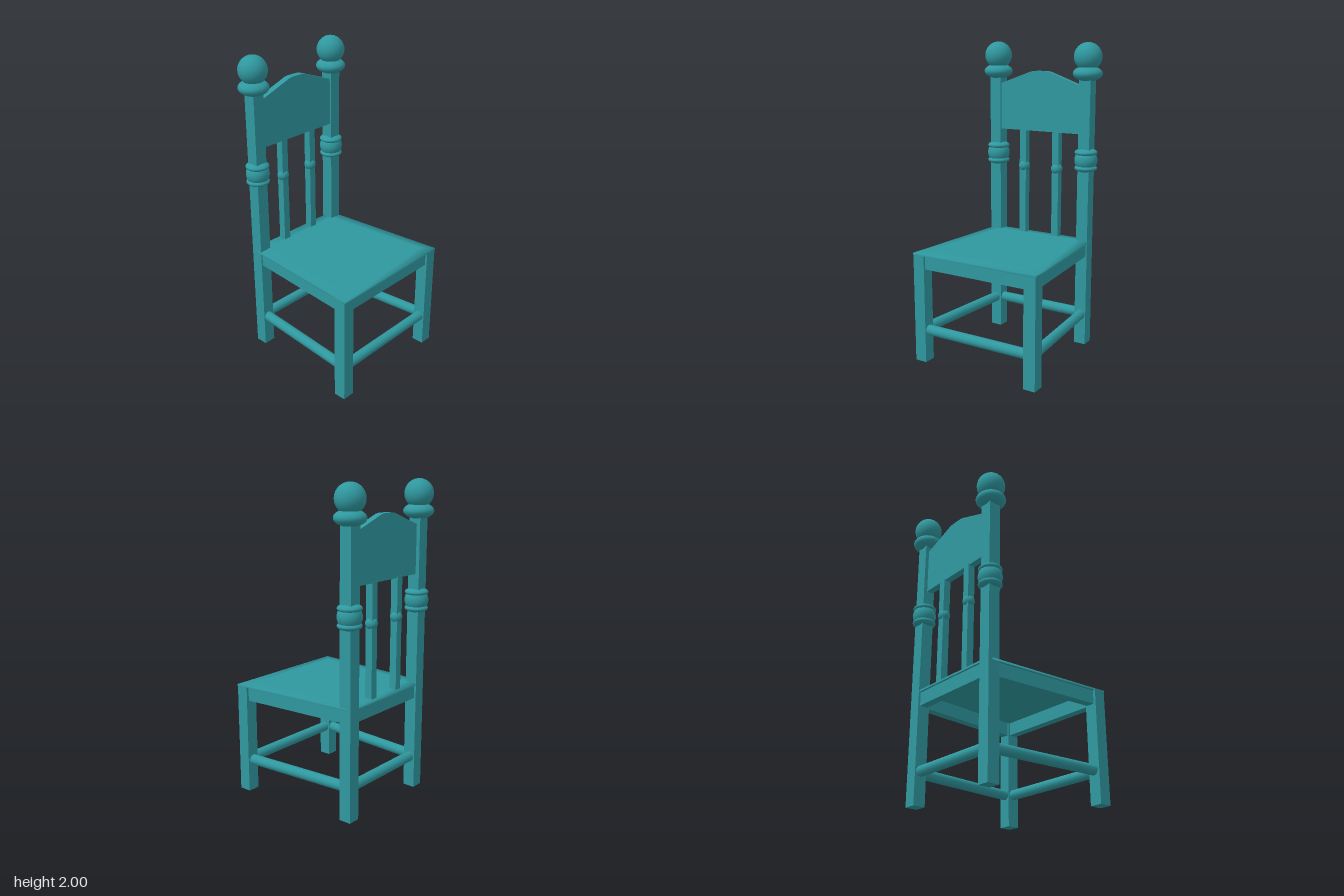
import * as THREE from 'three';

const teal = new THREE.MeshStandardMaterial({ color: 0x2f989f });
teal.name = 'teal';

// Corner positions: +x is the sitting direction, z is the chair's width
const BACK = -0.375, BACK_Z = 0.334, FRONT = 0.415, FRONT_Z = 0.4, LEG = 0.08;
const SEAT_Y = 0.72;

function part(name, geometry, x, y, z) {
  const mesh = new THREE.Mesh(geometry, teal);
  mesh.name = name;
  mesh.position.set(x, y, z);
  return mesh;
}

const upright = (name, size, y0, y1, x, z) =>
  part(name, new THREE.BoxGeometry(size, y1 - y0, size), x, (y0 + y1) / 2, z);

function ball(name, radius, halfHeight, x, y, z) {
  const mesh = part(name, new THREE.SphereGeometry(radius, 32, 20), x, y, z);
  mesh.scale.y = halfHeight / radius;
  return mesh;
}

// Horizontal bar from a to b, whose geometry runs along x
function bar(name, makeGeometry, a, b, y) {
  const dx = b[0] - a[0], dz = b[1] - a[1];
  const mesh = part(name, makeGeometry(Math.hypot(dx, dz)), (a[0] + b[0]) / 2, y, (a[1] + b[1]) / 2);
  mesh.rotation.y = -Math.atan2(dz, dx);
  return mesh;
}

// Trapezoid slab with softly rounded upper edges
function seatGeometry() {
  const outline = [[-0.413, -0.372], [-0.413, 0.372], [0.456, 0.441], [0.456, -0.441]];
  const position = [], normal = [], index = [];
  // rings: y, inset, outward and upward normal weights
  const rings = [
    [SEAT_Y - 0.018, 0, 0, -1],
    [SEAT_Y - 0.018, 0, 1, 0],
    [SEAT_Y - 0.005, 0, 0.8, 1],
    [SEAT_Y, 0.07, 0, 1],
  ];
  for (const [y, inset, out, up] of rings) {
    for (const [x, z] of outline) {
      const sx = Math.sign(x), sz = Math.sign(z);
      position.push(x - sx * inset, y, z - sz * inset);
      normal.push(...new THREE.Vector3(sx * out, up, sz * out).normalize().toArray());
    }
  }
  for (const r of [1, 2]) {
    for (let i = 0; i < 4; i++) {
      const j = (i + 1) % 4, a = r * 4, b = a + 4;
      index.push(a + i, a + j, b + j, a + i, b + j, b + i);
    }
  }
  index.push(12, 13, 14, 12, 14, 15, 0, 2, 1, 0, 3, 2);
  const geometry = new THREE.BufferGeometry();
  geometry.setAttribute('position', new THREE.Float32BufferAttribute(position, 3));
  geometry.setAttribute('normal', new THREE.Float32BufferAttribute(normal, 3));
  geometry.setIndex(index);
  return geometry;
}

// Crest panel with sloping shoulders and a short flat top
function crestGeometry(thickness) {
  const shape = new THREE.Shape();
  shape.moveTo(-0.3, 1.42);
  shape.lineTo(0.3, 1.42);
  shape.lineTo(0.3, 1.725);
  shape.lineTo(0.09, 1.8);
  shape.quadraticCurveTo(0.06, 1.813, 0.03, 1.813);
  shape.lineTo(-0.03, 1.813);
  shape.quadraticCurveTo(-0.06, 1.813, -0.09, 1.8);
  shape.lineTo(-0.3, 1.725);
  const geometry = new THREE.ExtrudeGeometry(shape, { depth: thickness, bevelEnabled: false, curveSegments: 4 });
  return geometry.translate(0, 0, -thickness / 2).rotateY(Math.PI / 2);
}

export function createModel() {
  const model = new THREE.Group();
  model.name = 'chair';
  const chair = new THREE.Group();
  chair.name = 'chairFrame';
  chair.rotation.y = -0.146;
  chair.position.set(0.001, 0, -0.009);
  model.add(chair);

  for (const side of [1, -1]) {
    const label = side > 0 ? 'near' : 'far';
    const z = side * BACK_Z;

    // Back post with ball finial and turned collar
    const post = new THREE.Group();
    post.name = label + 'BackPost';
    post.add(
      upright('post', LEG, 0, 1.82, BACK, z),
      ball('finialBall', 0.09, 0.09, BACK, 1.91, z),
      ball('finialRing', 0.095, 0.05, BACK, 1.805, z),
      ball('collarBall', 0.075, 0.075, BACK, 1.252, z),
      ball('collarUpperRing', 0.074, 0.028, BACK, 1.302, z),
      ball('collarLowerRing', 0.074, 0.028, BACK, 1.2, z),
    );
    chair.add(post);

    // Front leg
    chair.add(upright(label + 'FrontLeg', LEG, 0, SEAT_Y - 0.01, FRONT, side * FRONT_Z));

    // Slim spindle with a bead
    const spindle = new THREE.Group();
    spindle.name = label + 'Spindle';
    spindle.add(
      upright('spindleBar', 0.048, SEAT_Y - 0.01, 1.43, -0.37, side * 0.124),
      ball('spindleBead', 0.038, 0.038, -0.37, 1.177, side * 0.124),
    );
    chair.add(spindle);
  }

  // Crest panel and seat
  chair.add(part('crestPanel', crestGeometry(0.045), -0.368, 0, 0));
  chair.add(part('seat', seatGeometry(), 0, 0, 0));

  // Apron rails and rounded stretchers around all four sides
  const corners = [[BACK, -BACK_Z], [BACK, BACK_Z], [FRONT, FRONT_Z], [FRONT, -FRONT_Z]];
  const railBox = (length) => new THREE.BoxGeometry(length, 0.09, 0.054);
  const rod = (length) =>
    new THREE.CylinderGeometry(0.033, 0.033, length, 12).rotateZ(Math.PI / 2);
  ['back', 'near', 'front', 'far'].forEach((label, i) => {
    const a = corners[i], b = corners[(i + 1) % 4];
    chair.add(bar(label + 'Apron', railBox, a, b, 0.661));
    chair.add(bar(label + 'Stretcher', rod, a, b, 0.208));
  });

  return model;
}
